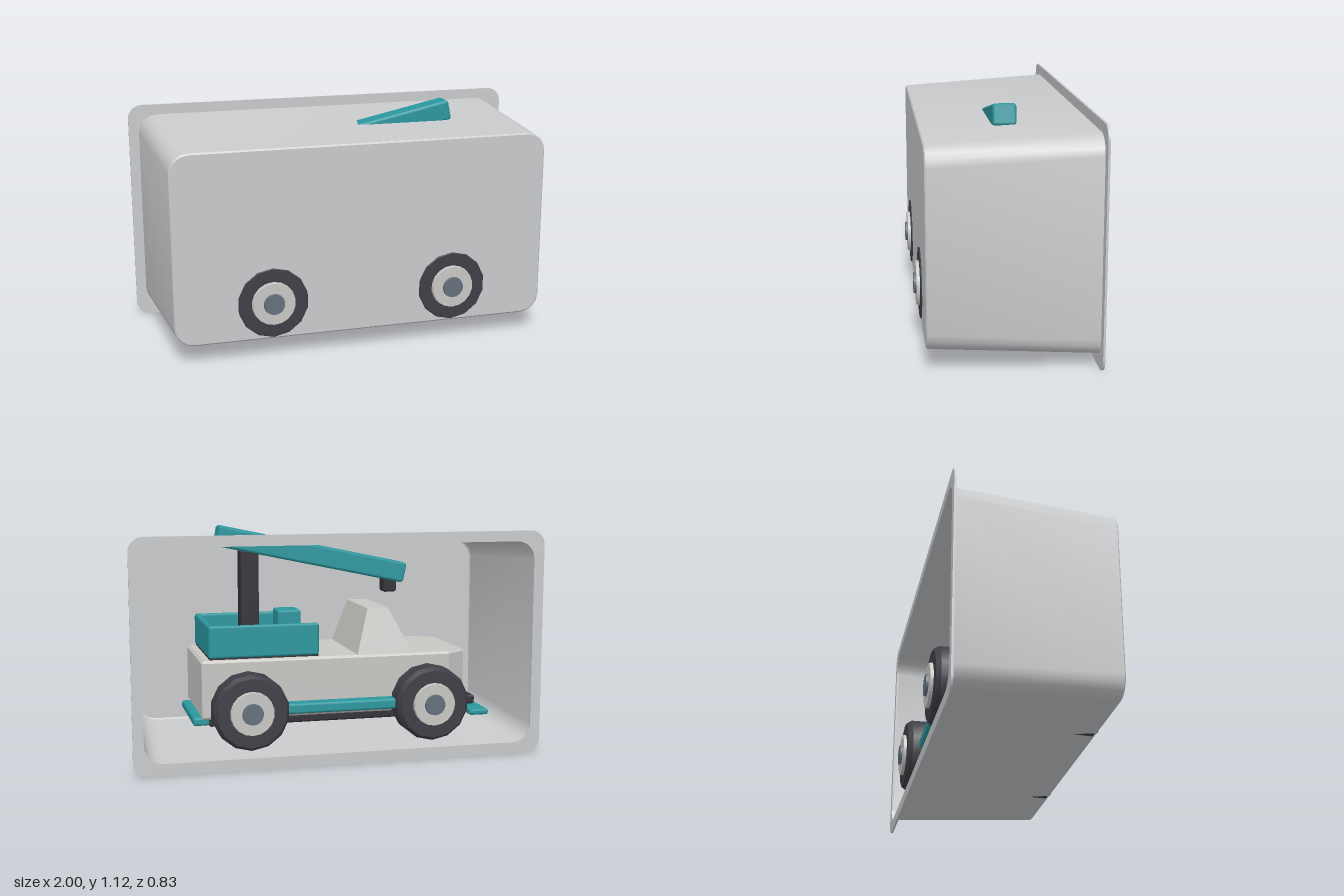
import * as THREE from 'three';
import { toCreasedNormals } from 'three/addons/utils/BufferGeometryUtils.js';
import { RoundedBoxGeometry } from 'three/addons/geometries/RoundedBoxGeometry.js';

const material = (name, color, side = THREE.FrontSide) => {
  const m = new THREE.MeshStandardMaterial({ color, side });
  m.name = name;
  return m;
};

// Rounded rectangle spanning x -w..w and y y0..y1
function roundedRect(Type, w, y0, y1, r) {
  const s = new Type();
  s.absarc(w - r, y0 + r, r, -Math.PI / 2, 0);
  s.absarc(w - r, y1 - r, r, 0, Math.PI / 2);
  s.absarc(-w + r, y1 - r, r, Math.PI / 2, Math.PI);
  s.absarc(-w + r, y0 + r, r, Math.PI, Math.PI * 1.5);
  s.closePath();
  return s;
}

// Skin through rounded-rectangle sections [z, halfWidth, y0, y1, radius], capped at the last one
function loftTray(sections) {
  const per = 5, count = per * 4, pos = [], index = [];
  for (const [z, w, y0, y1, r] of sections) {
    for (let c = 0; c < 4; c++) {
      const cx = (c === 0 || c === 3) ? w - r : r - w;
      const cy = c < 2 ? y1 - r : y0 + r;
      for (let i = 0; i < per; i++) {
        const a = (c + i / (per - 1)) * Math.PI / 2;
        pos.push(cx + r * Math.cos(a), cy + r * Math.sin(a), z);
      }
    }
  }
  for (let k = 0; k < sections.length - 1; k++) {
    for (let i = 0; i < count; i++) {
      const a = k * count + i, b = k * count + (i + 1) % count;
      index.push(a, b, b + count, a, b + count, a + count);
    }
  }
  const last = (sections.length - 1) * count;
  for (let i = 1; i < count - 1; i++) index.push(last, last + i, last + i + 1);
  const g = new THREE.BufferGeometry();
  g.setAttribute('position', new THREE.Float32BufferAttribute(pos, 3));
  g.setIndex(index);
  return toCreasedNormals(g, 0.45);
}

export function createModel() {
  const model = new THREE.Group();
  const trayGrey = material('tray grey', 0xc8cacc, THREE.DoubleSide);
  const bodyGrey = material('body grey', 0xc9c7c4);
  const teal = material('teal', 0x2a979e);
  const rubber = material('tyre charcoal', 0x3f3e46);
  const dark = material('dark trim', 0x343238);
  const steel = material('hub steel', 0x64707c);

  const add = (name, geometry, mat, parent = model) => {
    const mesh = new THREE.Mesh(geometry, mat);
    mesh.name = name;
    parent.add(mesh);
    return mesh;
  };
  // Softly rounded box given by its min and max corners
  const block = (name, mat, x0, x1, y0, y1, z0, z1, r = 0.012) => {
    const g = new RoundedBoxGeometry(x1 - x0, y1 - y0, z1 - z0, 1, r);
    return add(name, g.translate((x0 + x1) / 2, (y0 + y1) / 2, (z0 + z1) / 2), mat);
  };

  // Tapered display tray, open at the back
  add('tray', loftTray([
    [-0.38, 0.95, 0.055, 1.05, 0.09],
    [0.377, 0.912, 0.093, 1.007, 0.09],
    [0.383, 0.905, 0.1, 1.0, 0.083],
  ]), trayGrey);

  // Flat rim around the opening
  const rim = roundedRect(THREE.Shape, 1, 0, 1.1, 0.07);
  rim.holes.push(roundedRect(THREE.Path, 0.949, 0.056, 1.049, 0.09));
  add('trayRim', new THREE.ExtrudeGeometry(rim, { depth: 0.01, bevelEnabled: false, curveSegments: 6 })
    .translate(0, 0, -0.386), trayGrey);

  // Truck body: plan outline with chamfered nose, facing -x
  const plan = new THREE.Shape([
    [0.65, -0.25], [0.65, 0.25], [-0.56, 0.25], [-0.65, 0.19], [-0.65, -0.19], [-0.56, -0.25],
  ].map(([x, z]) => new THREE.Vector2(x, z)));
  add('truckBody', new THREE.ExtrudeGeometry(plan, {
    depth: 0.26, bevelSize: 0.012, bevelThickness: 0.012, bevelSegments: 1,
  }).rotateX(-Math.PI / 2).translate(0, 0.232, 0), bodyGrey);

  // Cab: box with its roof drawn in
  const cab = new THREE.BoxGeometry(1, 1, 1);
  const p = cab.attributes.position;
  for (let i = 0; i < p.count; i++) {
    const top = p.getY(i) > 0, front = p.getX(i) < 0;
    p.setXYZ(i, front ? (top ? -0.27 : -0.385) : (top ? -0.165 : -0.095),
      top ? 0.72 : 0.49, Math.sign(p.getZ(i)) * (top ? 0.19 : 0.255));
  }
  cab.computeVertexNormals();
  add('cab', cab, bodyGrey);

  // Load bed: floor with rear and side walls, open toward the cab
  block('bedFloor', dark, 0.09, 0.62, 0.5, 0.54, -0.235, 0.235, 0.005);
  block('bedRearWall', teal, 0.595, 0.625, 0.51, 0.665, -0.245, 0.245);
  for (const s of [-1, 1]) {
    block('bedSideWall', teal, 0.09, 0.62, 0.51, 0.665, s * 0.23 - 0.015, s * 0.23 + 0.015);
  }
  block('toolBox', teal, 0.11, 0.23, 0.53, 0.69, 0.06, 0.2);

  // Crane mast, boom and hook
  block('mast', dark, 0.345, 0.435, 0.52, 1.0, -0.045, 0.045, 0.005);
  const boom = add('boom', new RoundedBoxGeometry(0.97, 0.1, 0.11, 1, 0.014), teal);
  boom.position.set(0.073, 0.976, 0);
  boom.rotation.z = 0.21;
  block('boomHook', dark, -0.36, -0.29, 0.78, 0.86, -0.04, 0.04);

  // Underside, running boards and bumpers
  block('chassis', dark, -0.62, 0.62, 0.17, 0.24, -0.19, 0.19);
  for (const s of [-1, 1]) {
    block('runningBoard', teal, -0.33, 0.33, 0.245, 0.295, s * 0.295 - 0.04, s * 0.295 + 0.04);
  }
  block('frontBar', dark, -0.7, -0.64, 0.235, 0.28, -0.27, 0.27);
  block('frontBumper', teal, -0.76, -0.66, 0.185, 0.215, -0.31, 0.31);
  block('rearBumper', teal, 0.62, 0.7, 0.185, 0.225, -0.22, 0.22);

  // Wheels: lathed tyre, rim disc and hub cap, built along +z
  const tyreProfile = [[0, 0.25], [0.163, 0.25], [0.182, 0.272], [0.182, 0.366], [0.166, 0.389], [0, 0.389]]
    .map(([r, z]) => new THREE.Vector2(r, z));
  const tyre = toCreasedNormals(new THREE.LatheGeometry(tyreProfile, 14), 0.5).rotateX(Math.PI / 2);
  const disc = (r0, r1, z0, z1) => new THREE.CylinderGeometry(r1, r0, z1 - z0, 18)
    .rotateX(Math.PI / 2).translate(0, 0, (z0 + z1) / 2);
  const rimDisc = disc(0.107, 0.102, 0.38, 0.404);
  const hubCap = disc(0.053, 0.049, 0.395, 0.415);
  for (const x of [-0.445, 0.445]) {
    for (const turn of [0, Math.PI]) {
      const wheel = new THREE.Group();
      wheel.name = 'wheel';
      wheel.position.set(x, 0.27, 0);
      wheel.rotation.y = turn;
      add('tyre', tyre, rubber, wheel);
      add('wheelRim', rimDisc, bodyGrey, wheel);
      add('hubCap', hubCap, steel, wheel);
      model.add(wheel);
    }
  }
  return model;
}
